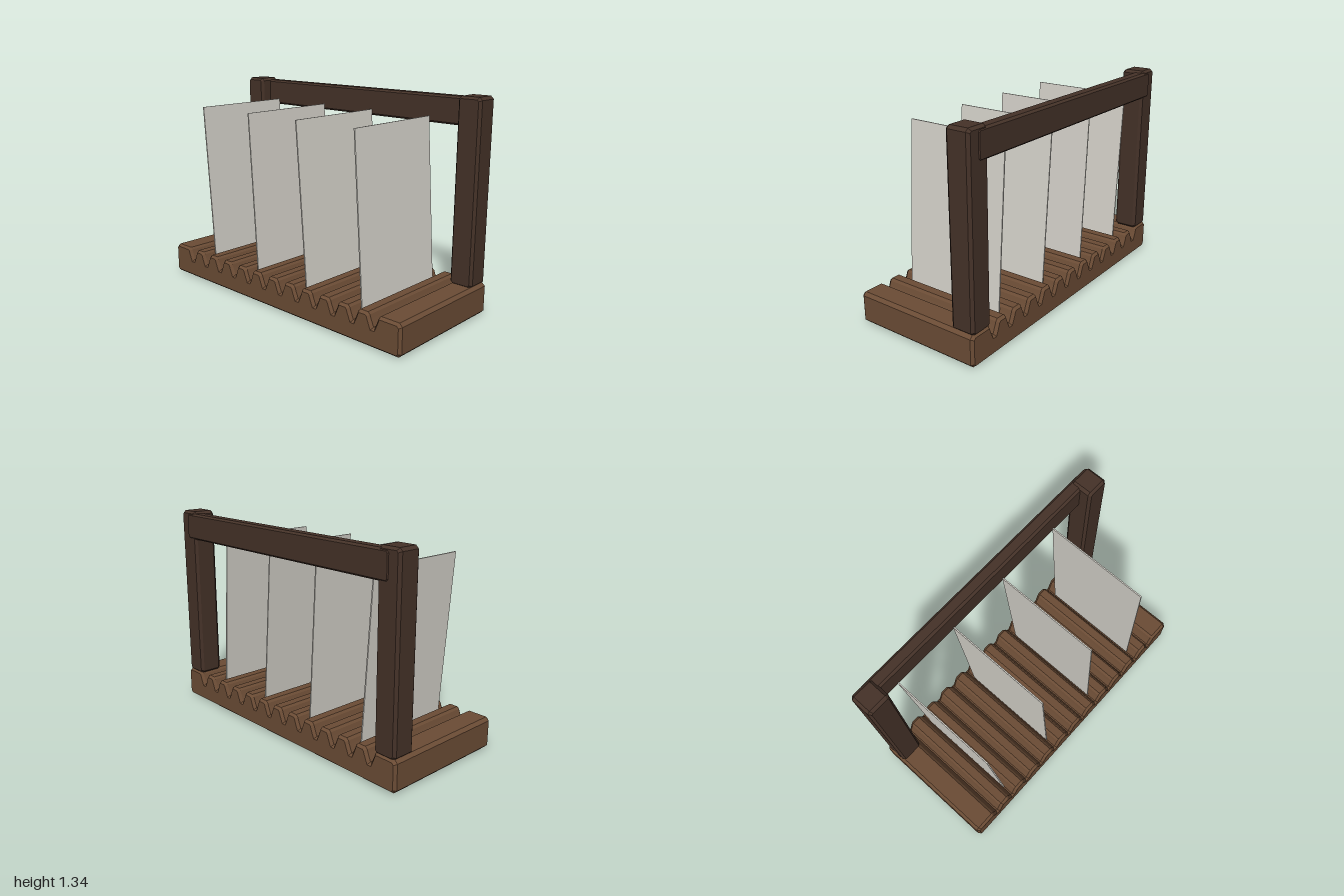
import * as THREE from 'three';

const mat = (color, flatShading = true) => new THREE.MeshStandardMaterial({ color, flatShading });
const baseWood = mat(0x6b4c35);
const frameWood = mat(0x453228);
const plateMat = mat(0xd6d3cb);

// Extrude an outline along z, centred, with both ends chamfered inwards
function chamferedExtrude(points, depth, c) {
  const shape = new THREE.Shape(points.map(([x, y]) => new THREE.Vector2(x, y)));
  const geo = new THREE.ExtrudeGeometry(shape, {
    depth: depth - 2 * c, bevelEnabled: true, bevelSegments: 1,
    bevelThickness: c, bevelSize: c * 0.8, bevelOffset: -c * 0.8,
  });
  return geo.translate(0, 0, -depth / 2 + c);
}

// Box with chamfered edges, given by its limits
function beam(name, [x0, x1], [y0, y1], [z0, z1], c, material) {
  const w = (x1 - x0) / 2, h = (y1 - y0) / 2;
  const outline = [[-w + c, -h], [w - c, -h], [w, -h + c], [w, h - c],
    [w - c, h], [-w + c, h], [-w, h - c], [-w, -h + c]];
  const mesh = new THREE.Mesh(chamferedExtrude(outline, z1 - z0, c), material);
  mesh.position.set((x0 + x1) / 2, (y0 + y1) / 2, (z0 + z1) / 2);
  mesh.name = name;
  return mesh;
}

export function createModel() {
  const group = new THREE.Group();
  group.name = 'plateRack';

  // Base with twelve rounded V grooves across the top
  const pitch = 0.147, grooves = 12;
  const grooveX = i => (i - (grooves - 1) / 2) * pitch;
  const side = [[0.046, 0.2], [0.032, 0.187], [0.024, 0.165], [0.005, 0.12]];
  const outline = [[-0.98, 0], [0.98, 0], [1, 0.02], [1, 0.18], [0.98, 0.2]];
  for (let i = grooves - 1; i >= 0; i--) {
    side.forEach(([d, y]) => outline.push([grooveX(i) + d, y]));
    [...side].reverse().forEach(([d, y]) => outline.push([grooveX(i) - d, y]));
  }
  outline.push([-0.98, 0.2], [-1, 0.18], [-1, 0.02]);
  const base = new THREE.Mesh(chamferedExtrude(outline, 0.86, 0.018), baseWood);
  base.name = 'groovedBase';
  group.add(base);

  // Rear frame
  group.add(beam('leftPost', [0.835, 0.988], [0.19, 1.335], [-0.426, -0.27], 0.018, frameWood));
  group.add(beam('rightPost', [-0.988, -0.835], [0.19, 1.335], [-0.426, -0.27], 0.018, frameWood));
  group.add(beam('crossbar', [-0.92, 0.92], [1.15, 1.322], [-0.432, -0.348], 0.015, frameWood));

  // Thin plates leaning in every third groove
  [[1, -0.738], [4, -0.286], [7, 0.136], [10, 0.588]].forEach(([slot, topX], i) => {
    const bottomX = grooveX(slot), y0 = 0.14, y1 = 1.19;
    const dx = topX - bottomX, dy = y1 - y0;
    const plate = new THREE.Mesh(new THREE.BoxGeometry(0.008, Math.hypot(dx, dy), 0.69), plateMat);
    plate.position.set((topX + bottomX) / 2, (y0 + y1) / 2, 0);
    plate.rotation.z = Math.atan2(-dx, dy);
    plate.name = `plate${i + 1}`;
    group.add(plate);
  });

  return group;
}
